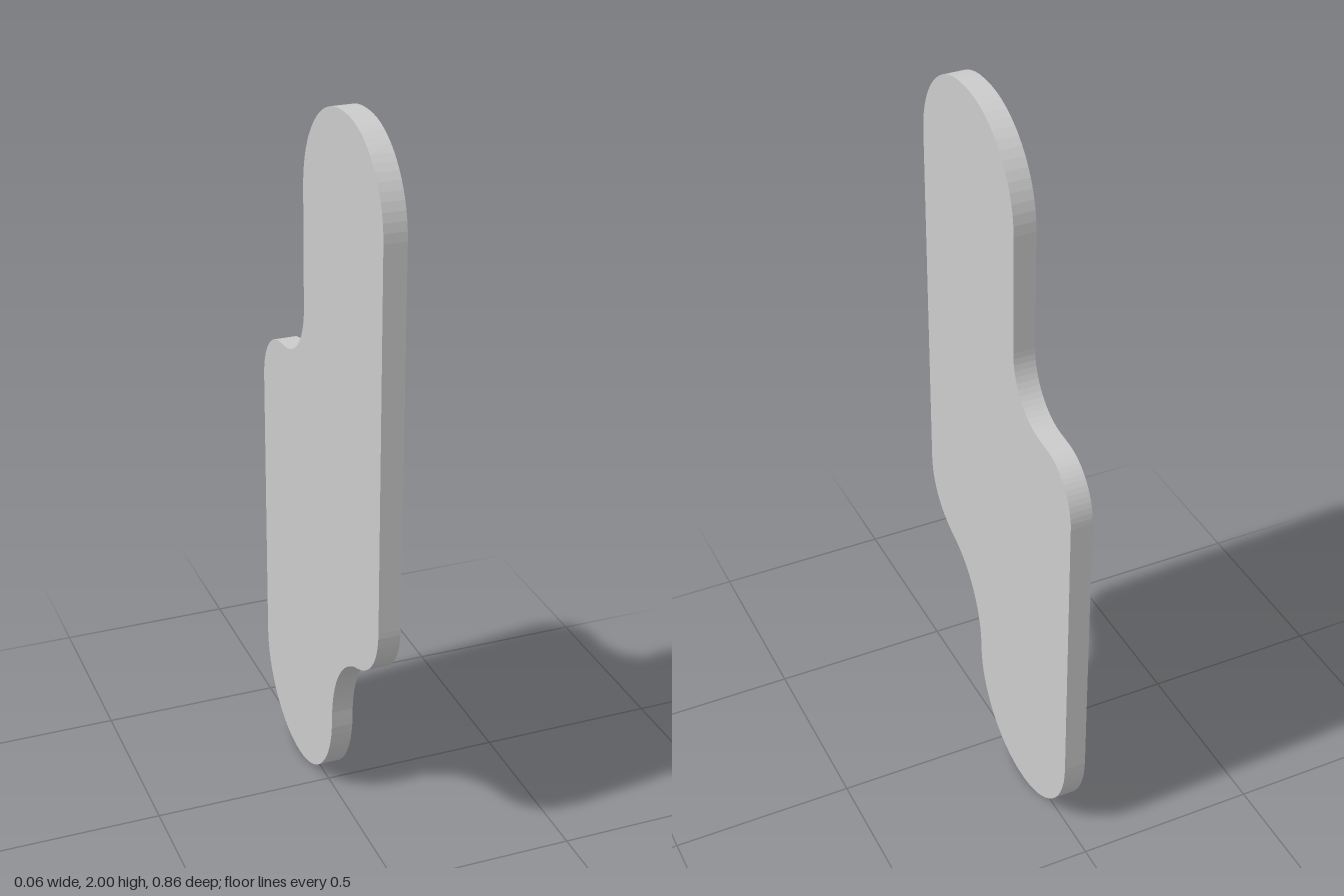
import * as THREE from 'three';

const THICKNESS = 0.06;
const K = 0.5523; // bezier handle length for a quarter ellipse

// Quarter ellipse from the current point to (u, v); startsVertical sets the first tangent
function quarter(shape, u, v, startsVertical) {
  const { x, y } = shape.currentPoint;
  const du = (u - x) * K, dv = (v - y) * K;
  if (startsVertical) shape.bezierCurveTo(x, y + dv, u - du, v, u, v);
  else shape.bezierCurveTo(x + du, y, u, v - dv, u, v);
}

export function createModel() {
  const group = new THREE.Group();
  group.name = 'offsetPlate';

  // Side outline, drawn as (z, y), counter-clockwise from the lower back edge
  const s = new THREE.Shape();
  s.moveTo(-0.425, 0.26);
  quarter(s, -0.16, 0, true); // rounded foot
  quarter(s, 0.105, 0.27, false);
  s.bezierCurveTo(0.105, 0.40, 0.18, 0.51, 0.29, 0.545); // front lower hollow
  s.bezierCurveTo(0.375, 0.575, 0.43, 0.64, 0.43, 0.73); // front shoulder
  s.lineTo(0.43, 1.76);
  quarter(s, 0.19, 2, true); // rounded head
  s.lineTo(0.17, 2);
  quarter(s, -0.10, 1.73, false);
  s.lineTo(-0.10, 1.40);
  quarter(s, -0.26, 1.235, true); // back hollow
  s.lineTo(-0.28, 1.233);
  quarter(s, -0.425, 1.08, false); // back shoulder
  s.closePath();

  const geometry = new THREE.ExtrudeGeometry(s, {
    depth: THICKNESS, bevelEnabled: false, curveSegments: 16,
  });
  geometry.translate(0, 0, -THICKNESS / 2);
  geometry.rotateY(-Math.PI / 2); // outline u axis becomes +z

  const plate = new THREE.Mesh(geometry, new THREE.MeshStandardMaterial({ color: 0xcccccc }));
  plate.name = 'plate';
  group.add(plate);
  return group;
}
